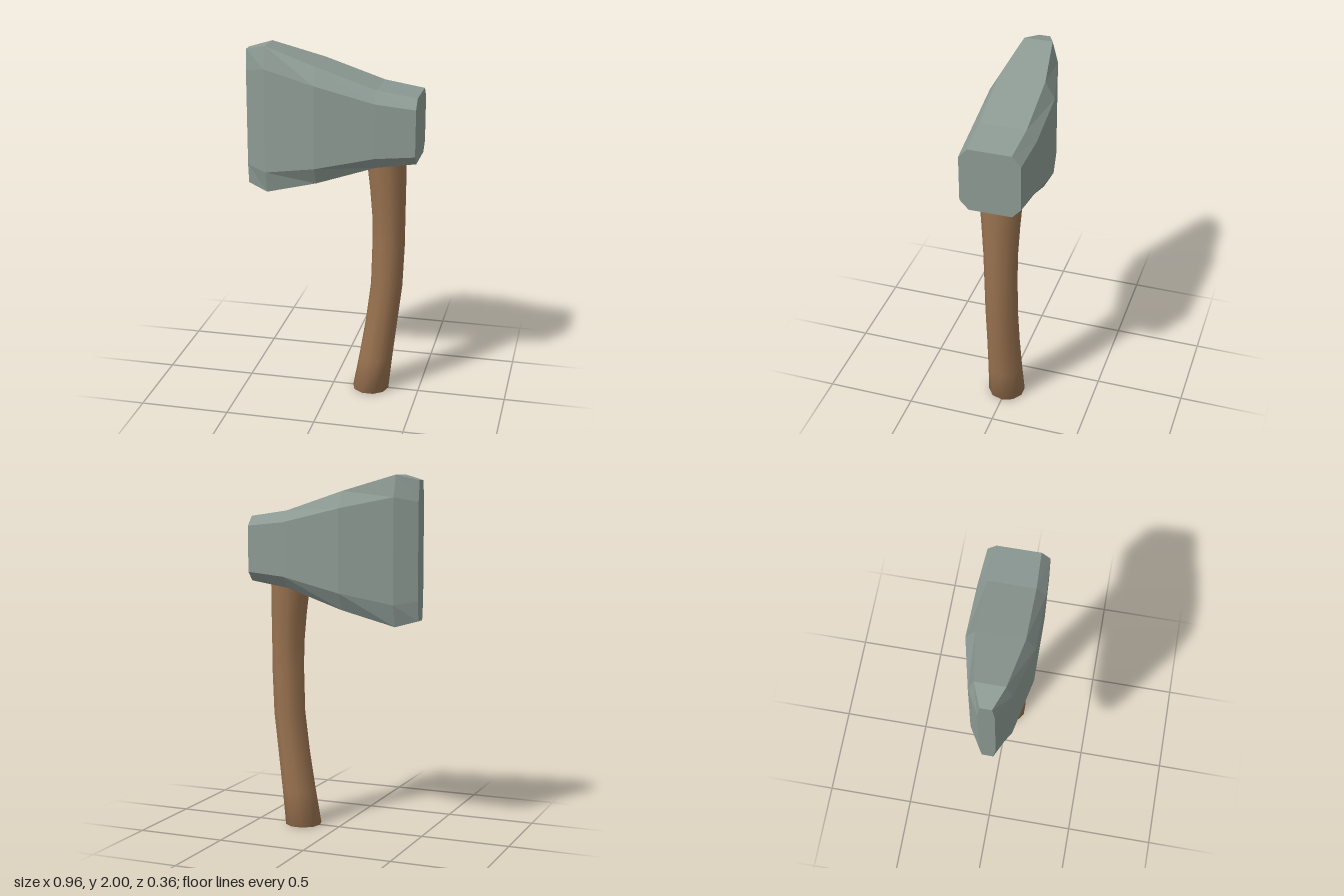
import * as THREE from 'three';

// Skin closed rings of points (counter-clockwise around the direction of travel).
function loft(rings, capStart, capEnd) {
  const n = rings[0].length;
  const positions = rings.flat(2);
  const index = [];
  for (let i = 0; i < rings.length - 1; i++) {
    for (let j = 0; j < n; j++) {
      const k = (j + 1) % n;
      const a = i * n + j, b = i * n + k, c = (i + 1) * n + k, d = (i + 1) * n + j;
      index.push(a, b, c, a, c, d);
    }
  }
  const cap = (ring, start, flip) => {
    const centre = positions.length / 3;
    for (let axis = 0; axis < 3; axis++) {
      positions.push(ring.reduce((sum, p) => sum + p[axis], 0) / n);
    }
    for (let j = 0; j < n; j++) {
      const a = start + j, b = start + (j + 1) % n;
      index.push(centre, flip ? b : a, flip ? a : b);
    }
  };
  if (capStart) cap(rings[0], 0, true);
  if (capEnd) cap(rings[rings.length - 1], (rings.length - 1) * n, false);
  const geometry = new THREE.BufferGeometry();
  geometry.setAttribute('position', new THREE.Float32BufferAttribute(positions, 3));
  geometry.setIndex(index);
  geometry.computeVertexNormals();
  return geometry;
}

export function createModel() {
  const steel = new THREE.MeshStandardMaterial({ color: 0x8d9a94 });
  const wood = new THREE.MeshStandardMaterial({ color: 0x9a7350 });
  steel.name = 'grey steel';
  wood.name = 'brown wood';

  const axe = new THREE.Group();
  axe.name = 'axe';

  // Head: chamfered sections from cutting edge to poll.
  // x, bottom, lower chamfer, upper chamfer, top, half width, half width of flat
  const headSections = [
    [-0.48, 1.21, 1.32, 1.855, 1.97, 0.044, 0.031],
    [-0.362, 1.178, 1.3, 1.88, 2.0, 0.112, 0.08],
    [-0.07, 1.263, 1.36, 1.82, 1.912, 0.18, 0.127],
    [0.26, 1.375, 1.44, 1.74, 1.803, 0.18, 0.127],
    [0.48, 1.408, 1.46, 1.717, 1.77, 0.167, 0.118],
  ];
  const headRings = headSections.map(([x, bottom, low, high, top, wide, flat]) => [
    [x, top, flat], [x, high, wide], [x, low, wide], [x, bottom, flat],
    [x, bottom, -flat], [x, low, -wide], [x, high, -wide], [x, top, -flat],
  ]);
  // Faceted normals
  const headGeometry = loft(headRings, true, true).toNonIndexed();
  headGeometry.computeVertexNormals();
  const head = new THREE.Mesh(headGeometry, steel);
  head.name = 'axeHead';
  axe.add(head);

  // Handle: curved, ten-sided, smooth; its top is buried in the head.
  // y, centre x, radius in x, radius in z
  const handleSections = [
    [0, 0.222, 0.104, 0.1],
    [0.2, 0.25, 0.096, 0.093],
    [0.42, 0.28, 0.091, 0.088],
    [0.65, 0.307, 0.09, 0.086],
    [0.9, 0.315, 0.092, 0.087],
    [1.05, 0.314, 0.093, 0.09],
    [1.22, 0.307, 0.101, 0.099],
    [1.38, 0.297, 0.111, 0.11],
    [1.5, 0.29, 0.115, 0.115],
  ];
  const sides = 10;
  const handleRings = handleSections.map(([y, cx, rx, rz]) =>
    Array.from({ length: sides }, (_, j) => {
      const angle = (j + 0.5) / sides * Math.PI * 2;
      return [cx + rx * Math.sin(angle), y, rz / Math.cos(Math.PI / sides) * Math.cos(angle)];
    }));
  const handle = new THREE.Mesh(loft(handleRings, true, false), wood);
  handle.name = 'handle';
  axe.add(handle);

  return axe;
}
